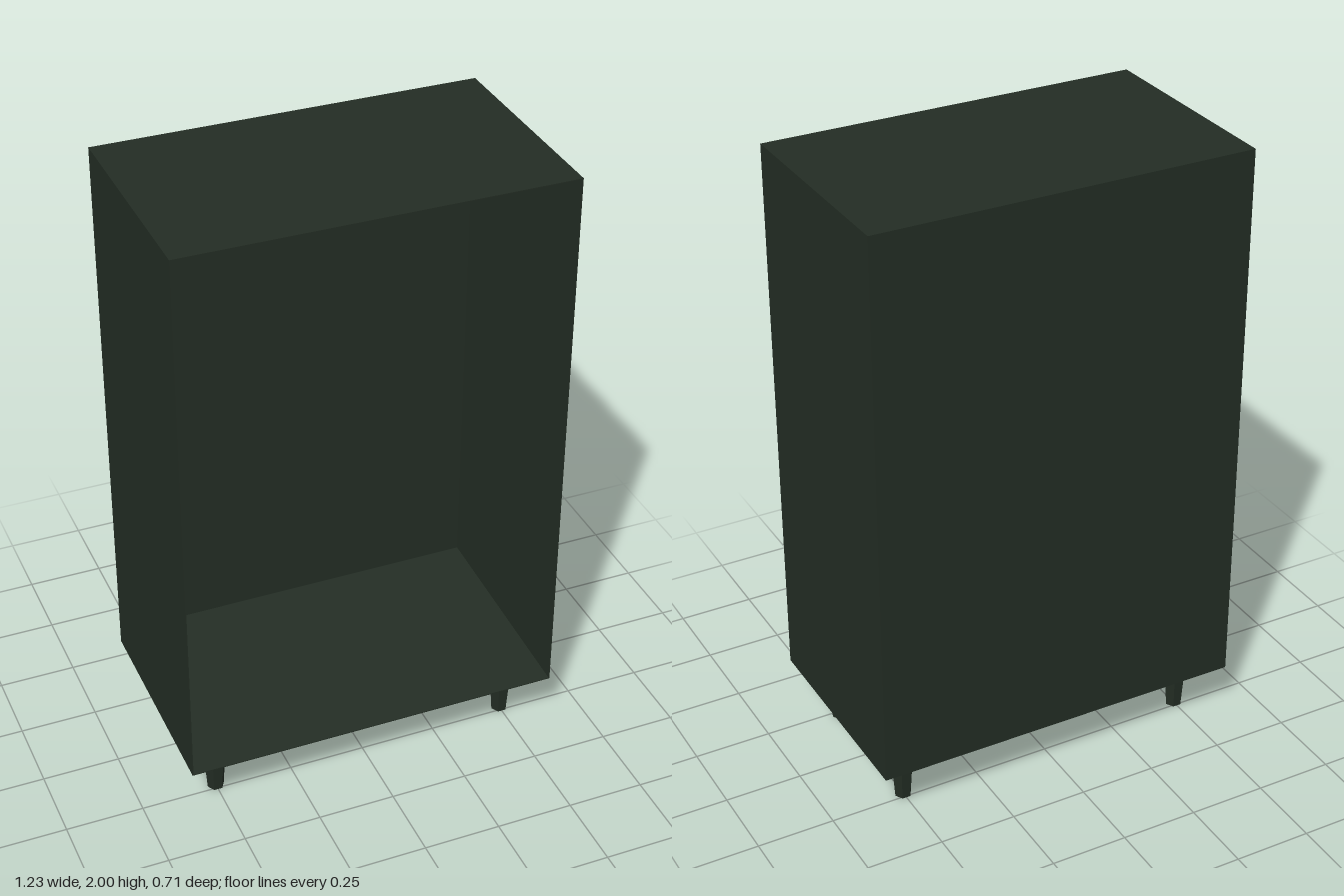
import * as THREE from 'three';

const W = 0.615, D = 0.357, BOTTOM = 0.18, TOP = 2;

// Rectangular cross-section at depth z, counterclockwise seen from the front
const ring = (w, y0, y1, z) =>
  [[-w, y0, z], [w, y0, z], [w, y1, z], [-w, y1, z]];

// Skin consecutive rings with flat quads and cap both ends
function skinRings(rings) {
  const pos = [];
  const quad = (a, b, c, d) => pos.push(...a, ...b, ...c, ...a, ...c, ...d);
  for (let r = 0; r < rings.length - 1; r++) {
    const A = rings[r], B = rings[r + 1];
    for (let i = 0; i < 4; i++) {
      const j = (i + 1) % 4;
      quad(A[i], A[j], B[j], B[i]);
    }
  }
  const first = rings[0], last = rings[rings.length - 1];
  quad(first[3], first[2], first[1], first[0]);
  quad(last[0], last[1], last[2], last[3]);
  const geometry = new THREE.BufferGeometry();
  geometry.setAttribute('position', new THREE.Float32BufferAttribute(pos, 3));
  geometry.computeVertexNormals();
  return geometry;
}

export function createModel() {
  const group = new THREE.Group();
  group.name = 'openCabinet';
  const paint = new THREE.MeshStandardMaterial({ color: 0x232d24 });
  paint.name = 'darkGreen';
  paint.flatShading = true;

  // Open-fronted case: walls taper from the back to a thin front edge
  const body = new THREE.Mesh(skinRings([
    ring(W, BOTTOM, TOP, -D),
    ring(W, BOTTOM, TOP, D),
    ring(W - 0.003, BOTTOM + 0.003, TOP - 0.003, D),
    ring(0.6, 0.245, 1.935, -D + 0.03),
  ]), paint);
  body.name = 'cabinetBody';
  group.add(body);

  // Four tapered hexagonal legs
  const legGeometry = new THREE.CylinderGeometry(0.04, 0.027, BOTTOM, 6);
  legGeometry.rotateY(Math.PI / 6);
  for (const [sx, side] of [[1, 'Left'], [-1, 'Right']]) {
    for (const [sz, end] of [[1, 'front'], [-1, 'back']]) {
      const leg = new THREE.Mesh(legGeometry, paint);
      leg.name = `${end}${side}Leg`;
      leg.position.set(sx * 0.5, BOTTOM / 2, sz * 0.233);
      group.add(leg);
    }
  }
  return group;
}
